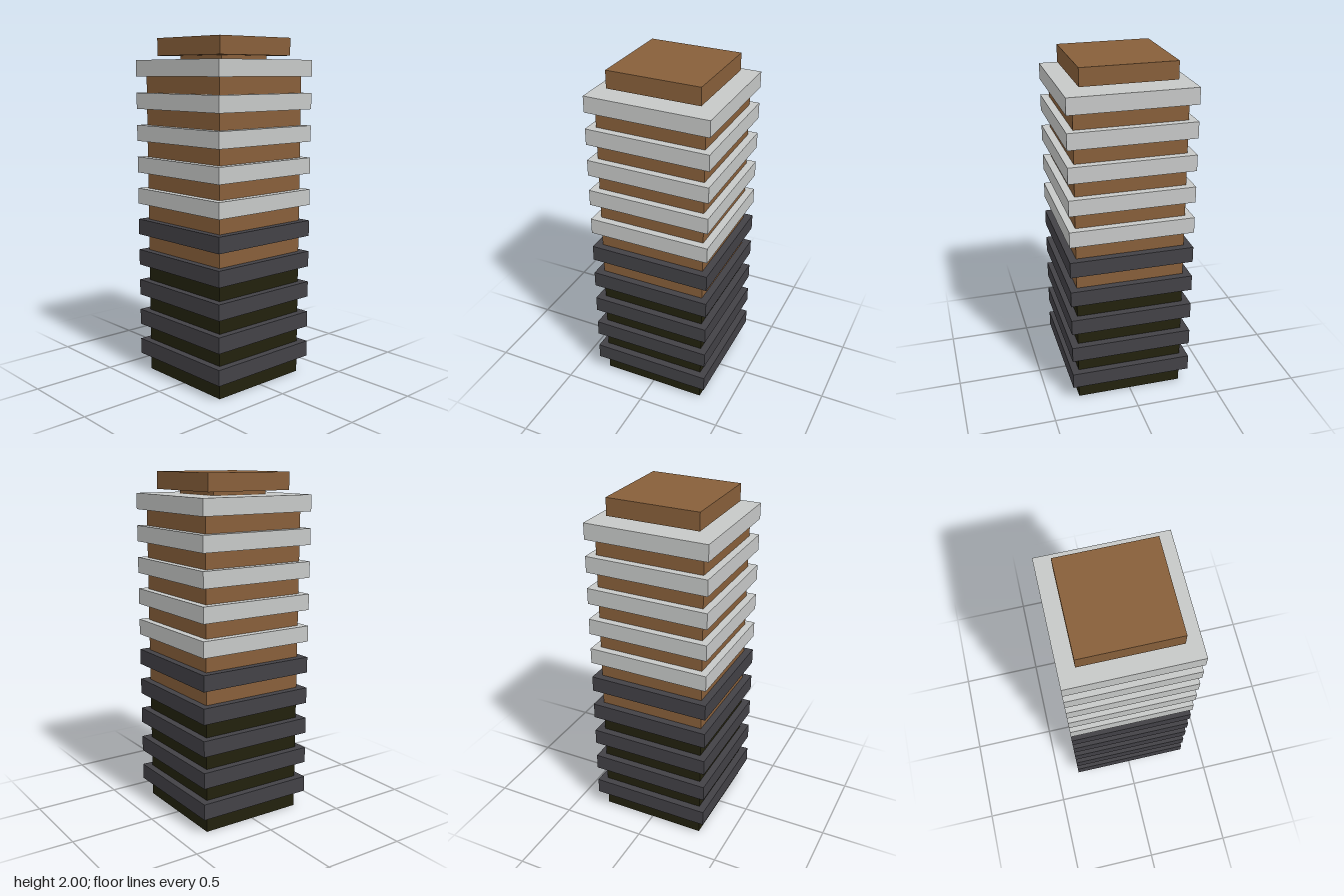
import * as THREE from 'three';

export function createModel() {
  const model = new THREE.Group();
  model.name = 'tower';

  const material = (name, color) => {
    const m = new THREE.MeshStandardMaterial({ color });
    m.name = name;
    return m;
  };
  const brown = material('brown', 0x875f3a);
  const paleGrey = material('pale grey', 0xc6c8c7);
  const charcoal = material('charcoal', 0x424146);
  const darkOlive = material('dark olive', 0x22210d);

  // Square block between two heights
  const block = (name, width, bottom, top, mat) => {
    const mesh = new THREE.Mesh(new THREE.BoxGeometry(width, top - bottom, width), mat);
    mesh.position.y = (bottom + top) / 2;
    mesh.name = name;
    model.add(mesh);
  };

  // Core: dark walls below with a brown underside, brown walls above
  const lowerFaces = [darkOlive, darkOlive, darkOlive, brown, darkOlive, darkOlive];
  block('lowerCore', 0.632, 0, 0.7, lowerFaces);
  block('upperCore', 0.632, 0.7, 1.82, brown);

  // Ten projecting floor slabs, the lower five... up to the sixth in charcoal
  const slabCount = 10, charcoalCount = 5, firstSlab = 0.1, spacing = 0.187, thickness = 0.093;
  for (let i = 0; i < slabCount; i++) {
    const y = firstSlab + i * spacing;
    block(`floorSlab${i + 1}`, 0.718, y, y + thickness, i < charcoalCount ? charcoal : paleGrey);
  }

  // Roof neck and cap
  block('roofNeck', 0.35, 1.87, 1.91, brown);
  block('roofCap', 0.54, 1.9, 2, brown);

  return model;
}
